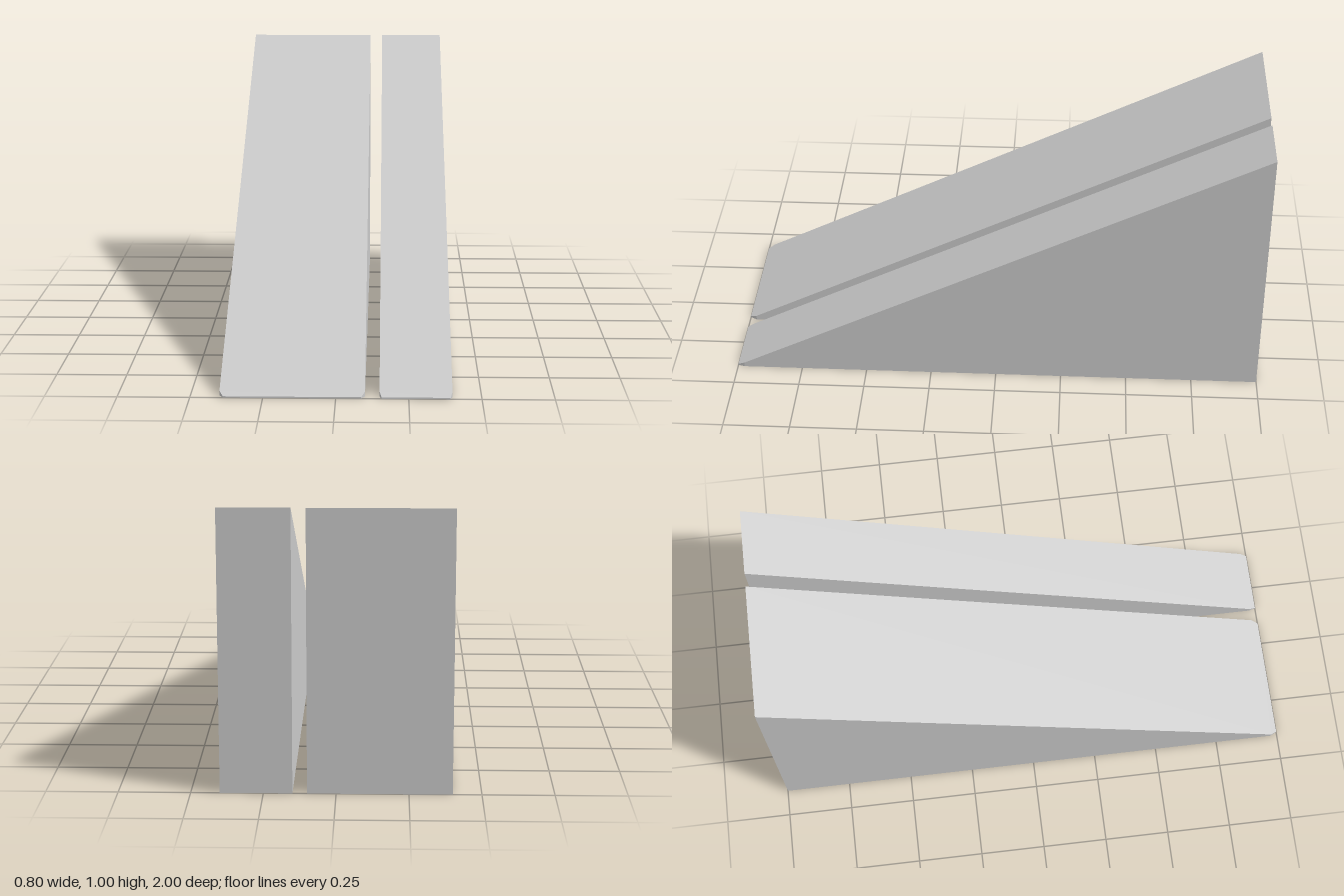
import * as THREE from 'three';

const LIP = 0.005; // height of the blunt front edge

// Footprint with clipped front corners, raised and cut to a slope
function wedge(name, x0, x1, clip, material) {
  const plan = new THREE.Shape([
    [x0, 1], [x1, 1], [x1, -0.975], [x1 - clip, -1], [x0 + clip, -1], [x0, -0.975],
  ].map(([x, y]) => new THREE.Vector2(x, y)));
  const geometry = new THREE.ExtrudeGeometry(plan, { depth: 1, bevelEnabled: false });
  geometry.rotateX(-Math.PI / 2);

  // Lower the top face so it falls from the back to the front lip
  const p = geometry.attributes.position;
  for (let i = 0; i < p.count; i++) {
    if (p.getY(i) > 0.5) p.setY(i, LIP + (1 - LIP) * (1 - p.getZ(i)) / 2);
  }
  geometry.computeVertexNormals();

  const mesh = new THREE.Mesh(geometry, material);
  mesh.name = name;
  return mesh;
}

export function createModel() {
  const group = new THREE.Group();
  group.name = 'splitRamp';
  const material = new THREE.MeshStandardMaterial({ color: 0xcccccc, flatShading: true });
  group.add(
    wedge('wideRamp', -0.4, 0.1, 0.013, material),
    wedge('narrowRamp', 0.15, 0.4, 0.007, material),
  );
  return group;
}
